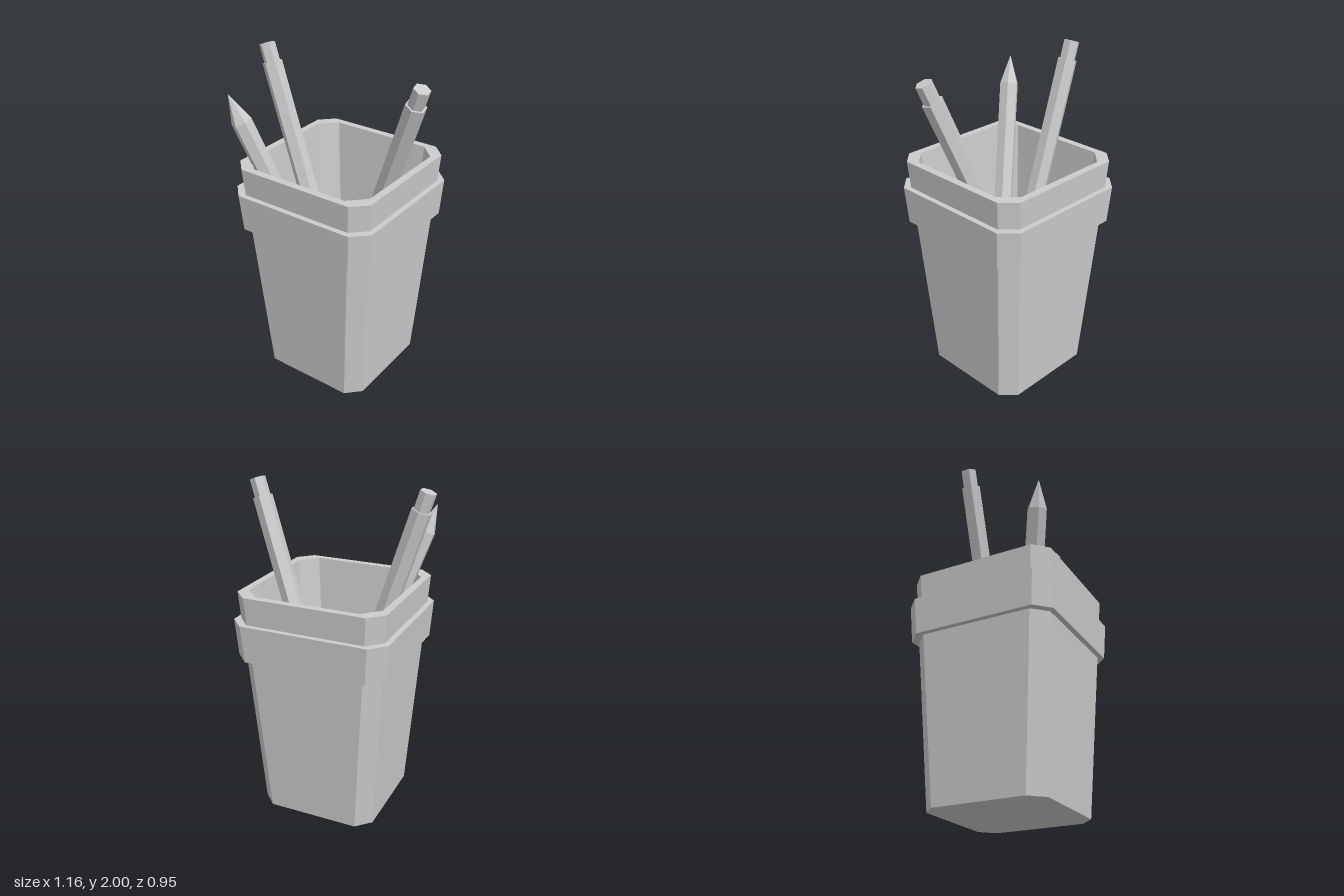
import * as THREE from 'three';

const grey = new THREE.MeshStandardMaterial({ color: 0xcccccc, flatShading: true });

function addMesh(parent, name, geometry) {
  const mesh = new THREE.Mesh(geometry, grey);
  mesh.name = name;
  parent.add(mesh);
  return mesh;
}

// Square ring with chamfered corners: half width h, chamfer c, height y
function ring([h, c, y]) {
  const k = h - c;
  return [[h, -k], [h, k], [k, h], [-k, h], [-h, k], [-h, -k], [-k, -h], [k, -h]]
    .map(([x, z]) => [x, y, z]);
}

// Skin a list of rings; h = 0 closes an end at its centre
function loft(profile) {
  const rings = profile.map(ring);
  const pos = [];
  for (let i = 0; i < rings.length - 1; i++) {
    for (let k = 0; k < 8; k++) {
      const n = (k + 1) % 8;
      const a = rings[i][k], b = rings[i][n], c = rings[i + 1][n], d = rings[i + 1][k];
      if (profile[i][0] > 0) pos.push(...a, ...d, ...b);
      if (profile[i + 1][0] > 0) pos.push(...b, ...d, ...c);
      if (profile[i][0] === 0) continue;
      if (profile[i + 1][0] === 0) continue;
    }
  }
  // Ends that start at the centre need the outer triangle only
  const geometry = new THREE.BufferGeometry();
  geometry.setAttribute('position', new THREE.Float32BufferAttribute(pos, 3));
  geometry.computeVertexNormals();
  return geometry;
}

// Hexagonal pencil running from its point to its eraser end
function makePencil(name, tip, end, roll) {
  const pencil = new THREE.Group();
  pencil.name = name;
  const from = new THREE.Vector3(...tip);
  const axis = new THREE.Vector3(...end).sub(from);
  const length = axis.length();
  axis.normalize();
  const tipLength = 0.17, eraserLength = 0.11, r = 0.06;

  const section = (part, r0, r1, y0, y1) => {
    const g = new THREE.CylinderGeometry(r1, r0, y1 - y0, 6);
    g.rotateY(roll);
    g.translate(0, (y0 + y1) / 2, 0);
    addMesh(pencil, part, g);
  };
  section('pencilPoint', 0.002, r, 0, tipLength);
  section('pencilShaft', r, r, tipLength, length - eraserLength);
  section('pencilEraser', 0.048, 0.048, length - eraserLength, length);

  // Lean along the axis, keeping the local z direction horizontal
  const side = new THREE.Vector3(-axis.z, 0, axis.x).normalize();
  const across = new THREE.Vector3().crossVectors(axis, side);
  pencil.quaternion.setFromRotationMatrix(new THREE.Matrix4().makeBasis(across, axis, side));
  pencil.position.copy(from);
  return pencil;
}

export function createModel() {
  const model = new THREE.Group();
  model.name = 'pencilCup';

  // Tapered cup: base, outer wall, lip, inner wall, floor
  const cup = new THREE.Group();
  cup.name = 'cup';
  cup.position.x = -0.013;
  addMesh(cup, 'cupBody', loft([
    [0, 0, 0], [0.366, 0.085, 0], [0.455, 0.085, 1.4],
    [0.411, 0.096, 1.4], [0.328, 0.093, 0.1], [0, 0, 0.1],
  ]));

  // Raised collar around the upper wall
  addMesh(cup, 'cupBand', loft([
    [0.42, 0.085, 1.01], [0.463, 0.09, 1.01],
    [0.477, 0.09, 1.235], [0.43, 0.085, 1.235],
  ]));
  model.add(cup);

  // Two pencils point down, one points up
  model.add(
    makePencil('leftLeaningPencil', [0.05, 0.1, 0], [-0.547, 1.985, -0.003], 0),
    makePencil('rightLeaningPencil', [-0.17, 0.1, -0.2], [0.535, 1.96, 0.065], Math.PI / 6),
    makePencil('upturnedPencil', [-0.468, 1.82, 0.427], [0.08, 0.1, 0.02], Math.PI / 6),
  );
  return model;
}
